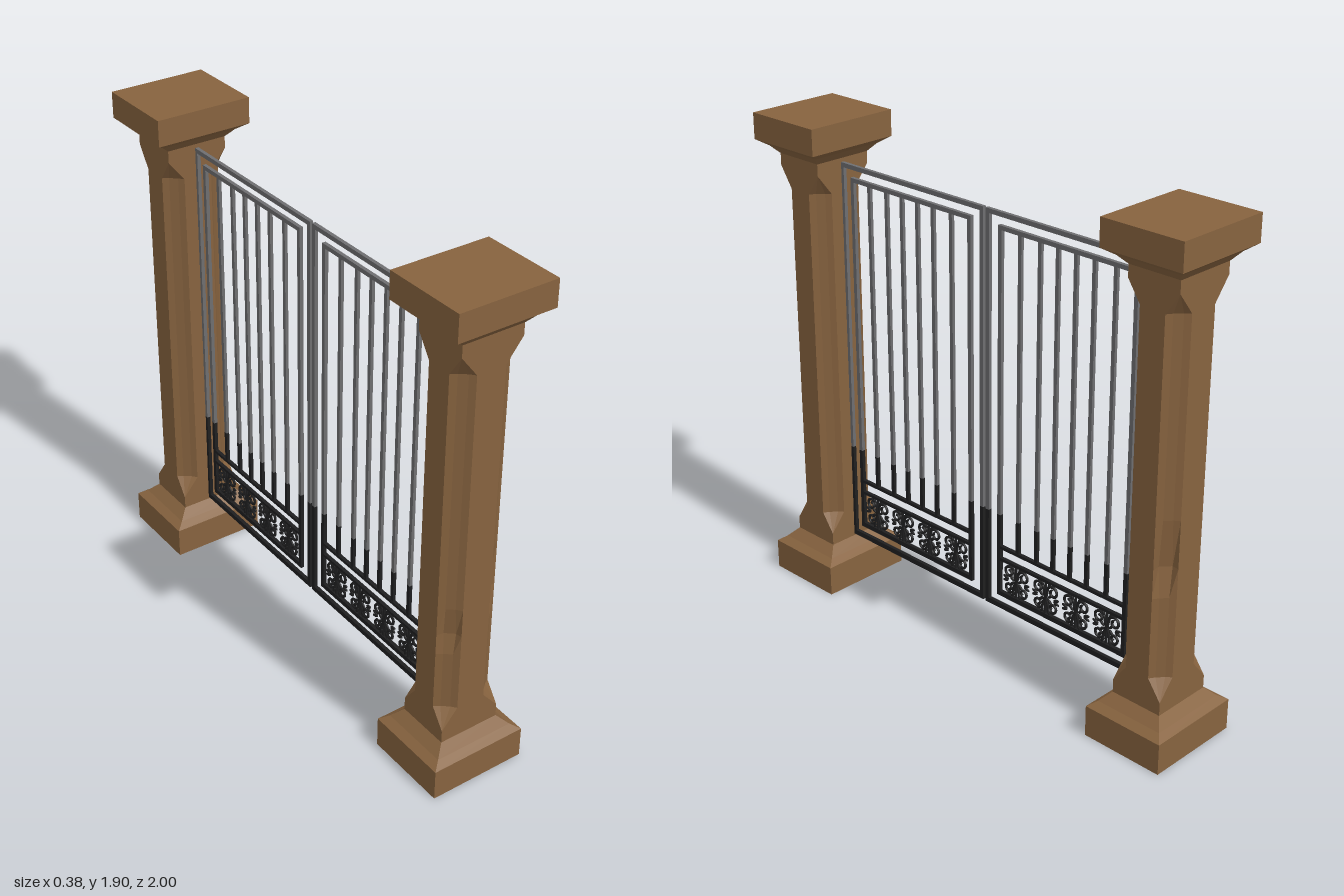
import * as THREE from 'three';
import { mergeGeometries } from 'three/addons/utils/BufferGeometryUtils.js';

const stone = new THREE.MeshStandardMaterial({ color: 0x87633f, flatShading: true });
stone.name = 'brownStone';
const steel = new THREE.MeshStandardMaterial({ color: 0x6e6e70 });
steel.name = 'greyIron';
const iron = new THREE.MeshStandardMaterial({ color: 0x1f1f20 });
iron.name = 'blackIron';

const Z_RATIO = 0.86; // pillars are a little narrower along z
const PILLAR_Z = 0.837;
const SPLIT = 0.575; // ironwork is black below this height

function add(group, name, geometry, material) {
  const mesh = new THREE.Mesh(geometry, material);
  mesh.name = name;
  group.add(mesh);
  return mesh;
}

// One square cross-section whose corners are cut by c, each cut holding a sunken panel
function section({ y, h, c = 0, chips = [1, 1, 1, 1] }) {
  const corners = [[1, 1], [-1, 1], [-1, -1], [1, -1]];
  return corners.flatMap(([sx, sz], k) => {
    const d = chips[k];
    const pts = [[0, c], [0.35 * c * d, 0.75 * c * d], [0.75 * c * d, 0.35 * c * d], [c, 0]];
    if (k % 2) pts.reverse();
    return pts.map(([dx, dz]) => [sx * (h - dx), y, sz * (h - dz) * Z_RATIO]);
  });
}

// Skin a stack of cross-sections and close both ends
function loft(levels) {
  const rings = levels.map(section);
  const n = rings[0].length;
  const pos = [];
  const tri = (...p) => p.forEach((v) => pos.push(...v));
  for (let i = 0; i < n; i++) {
    const j = (i + 1) % n;
    for (let r = 0; r < rings.length - 1; r++) {
      const lo = rings[r], up = rings[r + 1];
      tri(lo[i], up[i], lo[j]);
      tri(lo[j], up[i], up[j]);
    }
    const first = rings[0], last = rings[rings.length - 1];
    tri([0, first[0][1], 0], first[i], first[j]);
    tri([0, last[0][1], 0], last[j], last[i]);
  }
  const geo = new THREE.BufferGeometry();
  geo.setAttribute('position', new THREE.Float32BufferAttribute(pos, 3));
  geo.computeVertexNormals();
  return geo;
}

function makePillar(side) {
  const g = new THREE.Group();
  g.name = side > 0 ? 'frontPillar' : 'backPillar';
  add(g, 'pillarBase', loft([
    { y: 0, h: 0.19 }, { y: 0.12, h: 0.19 }, { y: 0.14, h: 0.158 }, { y: 0.175, h: 0.12 },
  ]), stone);
  // The two outward corners are chipped
  const big = side > 0 ? [1.4, 1, 1, 1] : [1, 1, 1, 1.4];
  const small = side > 0 ? [1, 1.25, 1, 1] : [1, 1, 1.25, 1];
  add(g, 'pillarShaft', loft([
    { y: 0.175, h: 0.12 }, { y: 0.225, h: 0.12 }, { y: 0.3, h: 0.12, c: 0.063 },
    { y: 0.53, h: 0.12, c: 0.063 }, { y: 0.61, h: 0.12, c: 0.063, chips: small },
    { y: 0.72, h: 0.12, c: 0.063, chips: big }, { y: 0.9, h: 0.12, c: 0.063 },
    { y: 1.62, h: 0.12, c: 0.063 }, { y: 1.7, h: 0.12 }, { y: 1.745, h: 0.12 },
  ]), stone);
  add(g, 'pillarCap', loft([
    { y: 1.745, h: 0.12 }, { y: 1.775, h: 0.15 }, { y: 1.8, h: 0.19 }, { y: 1.9, h: 0.19 },
  ]), stone);
  g.position.z = side * PILLAR_Z;
  return g;
}

// Box bar in the gate plane, cut in two colours where it crosses the split height
function bar(group, name, z0, z1, y0, y1, depth = 0.014) {
  const piece = (a, b, mat) => {
    const geo = new THREE.BoxGeometry(depth, b - a, Math.abs(z1 - z0));
    add(group, name, geo, mat).position.set(0, (a + b) / 2, (z0 + z1) / 2);
  };
  if (y0 < SPLIT) piece(y0, Math.min(y1, SPLIT), iron);
  if (y1 > SPLIT) piece(Math.max(y0, SPLIT), y1, steel);
}

// Rectangular frame made of four bars
function frame(group, name, z0, z1, y0, y1, w) {
  bar(group, name, z0, z0 + w, y0, y1);
  bar(group, name, z1 - w, z1, y0, y1);
  bar(group, name, z0 + w, z1 - w, y0, y0 + w + 0.003);
  bar(group, name, z0 + w, z1 - w, y1 - w, y1);
}

// Leafy scroll: four curls springing from a stem, with small leaves between them
function scrollGeometry() {
  const parts = [];
  for (const sz of [-1, 1]) for (const sy of [-1, 1]) {
    const pts = [new THREE.Vector3(0, -sy * 0.012, 0)];
    const r0 = sy > 0 ? 0.027 : 0.023;
    for (let i = 0; i <= 14; i++) {
      const t = i / 14;
      const a = Math.PI * (1.05 - 2.6 * t);
      const r = r0 * (1 - 0.7 * t);
      pts.push(new THREE.Vector3(0, sy * (0.032 + r * Math.sin(a)), sz * (0.035 + r * Math.cos(a))));
    }
    parts.push(new THREE.TubeGeometry(new THREE.CatmullRomCurve3(pts), 28, 0.0055, 5));
    for (const [z, y, tilt] of [[0.052, 0.006, 0.3], [0.017, 0.055, 1.2], [0.022, 0.012, 0.8]]) {
      const leaf = new THREE.SphereGeometry(1, 8, 5);
      leaf.scale(0.005, 0.006, 0.015);
      leaf.rotateX(-sz * sy * tilt);
      leaf.translate(0, sy * y, sz * z);
      parts.push(leaf);
    }
  }
  const stem = new THREE.CylinderGeometry(0.005, 0.006, 0.125, 6);
  parts.push(stem);
  return mergeGeometries(parts);
}

function makeLeaf(side, scroll) {
  const g = new THREE.Group();
  g.name = side > 0 ? 'frontGateLeaf' : 'backGateLeaf';
  const span = (a, b) => (side > 0 ? [a, b] : [-b, -a]);
  frame(g, 'outerFrame', ...span(0.006, 0.738), 0.183, 1.73, 0.017);
  frame(g, 'innerFrame', ...span(0.066, 0.685), 0.237, 1.682, 0.016);
  // Rails above the scroll band
  bar(g, 'lowerRail', ...span(0.08, 0.67), 0.385, 0.397);
  bar(g, 'upperRail', ...span(0.08, 0.67), 0.435, 0.447);
  for (const z of [0.166, 0.257, 0.337, 0.417, 0.497, 0.588]) {
    bar(g, 'uprightBar', ...span(z - 0.0075, z + 0.0075), 0.44, 1.67, 0.012);
  }
  for (let i = 0; i < 4; i++) {
    add(g, 'scrollwork', scroll, iron).position.set(0, 0.319, side * (0.158 + i * 0.146));
  }
  return g;
}

export function createModel() {
  const model = new THREE.Group();
  model.name = 'pillaredGate';
  const scroll = scrollGeometry();
  for (const side of [1, -1]) model.add(makePillar(side), makeLeaf(side, scroll));
  return model;
}
